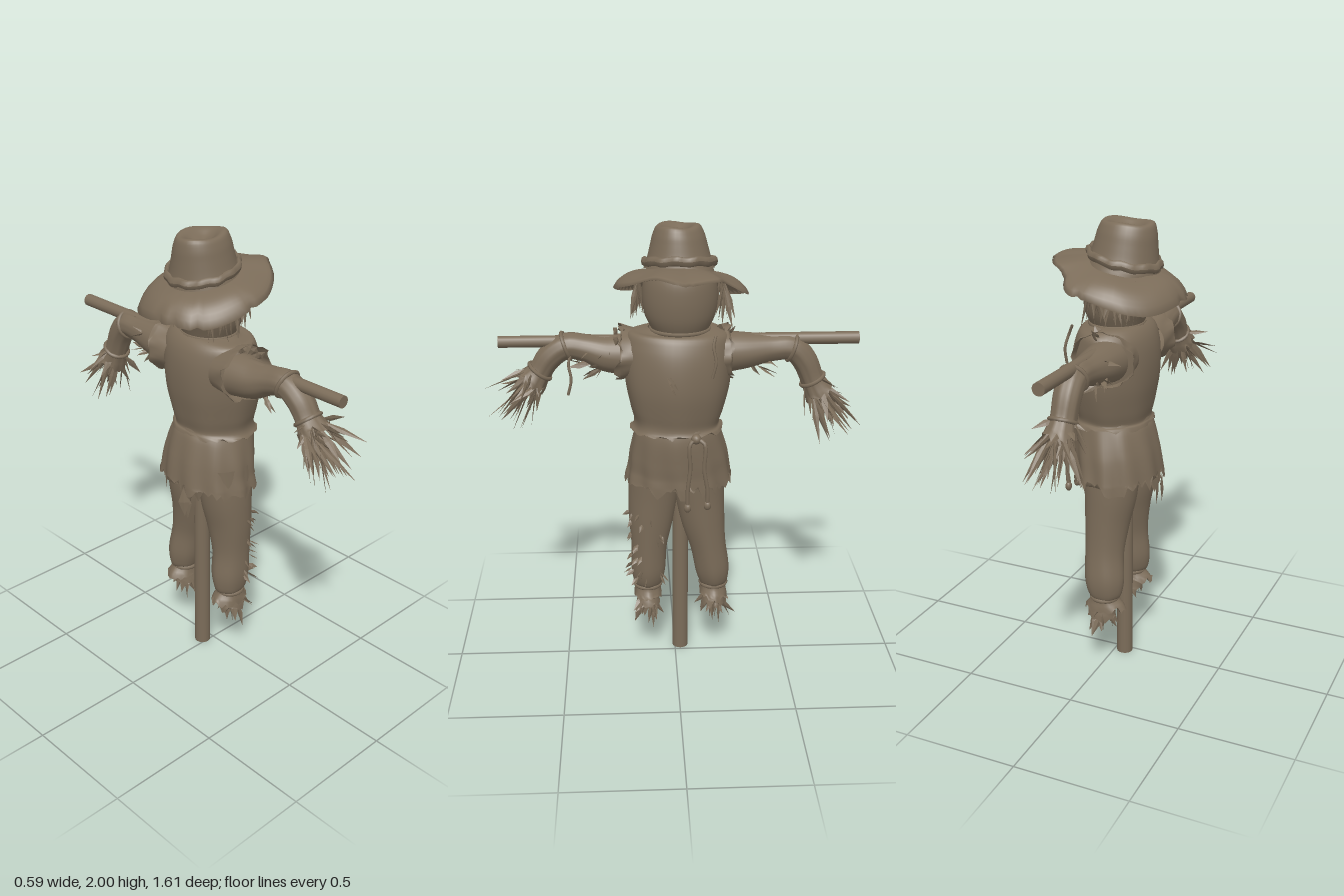
import * as THREE from 'three';
import { mergeGeometries } from 'three/addons/utils/BufferGeometryUtils.js';

let seed = 7;
const rand = () => (seed = (seed * 16807) % 2147483647) / 2147483647;
const jit = (a) => (rand() - 0.5) * 2 * a;
const V = (x, y, z) => new THREE.Vector3(x, y, z);

export function createModel() {
  seed = 7;
  const model = new THREE.Group();
  const burlap = new THREE.MeshStandardMaterial({ color: 0x7b6c59, side: THREE.DoubleSide });
  burlap.name = 'burlap brown';

  const add = (name, geo) => {
    const m = new THREE.Mesh(geo, burlap);
    m.name = name;
    model.add(m);
    return m;
  };

  // Smooth surface closed around its columns; f(row, angle) gives each point
  function surface(rows, cols, f) {
    const pos = [], idx = [];
    for (let i = 0; i <= rows; i++) {
      for (let j = 0; j < cols; j++) {
        pos.push(...f(i / rows, (j / cols) * Math.PI * 2, j).toArray());
        if (i < rows) {
          const a = i * cols + j, b = i * cols + (j + 1) % cols;
          idx.push(a, a + cols, b, b, a + cols, b + cols);
        }
      }
    }
    const g = new THREE.BufferGeometry();
    g.setAttribute('position', new THREE.Float32BufferAttribute(pos, 3));
    g.setIndex(idx);
    g.computeVertexNormals();
    return g;
  }

  // Loft through sections [x, y, z, radiusX, radiusAcross], with folds and a torn end
  function loft(name, sections, { cols = 32, rag = 0, folds = 0, count = 9 } = {}) {
    const path = new THREE.CatmullRomCurve3(sections.map((s) => V(s[0], s[1], s[2])), false, 'catmullrom', 0.5);
    const radii = new THREE.CatmullRomCurve3(sections.map((s) => V(s[3], s[4], 0)), false, 'catmullrom', 0.5);
    const rows = sections.length * 4;
    return add(name, surface(rows, cols, (t, a) => {
      const c = path.getPoint(t), tan = path.getTangent(t), r = radii.getPoint(t);
      const v = tan.clone().cross(V(1, 0, 0)).normalize();
      const u = v.clone().cross(tan).normalize();
      const k = 1 + folds * Math.sin(a * count + t * 2) * t;
      c.addScaledVector(u, Math.cos(a) * r.x * k).addScaledVector(v, Math.sin(a) * r.y * k);
      if (t === 1) c.addScaledVector(tan, jit(rag));
      return c;
    }));
  }

  // One flat leaf-shaped straw
  function straw(from, dir, len, width) {
    const g = new THREE.OctahedronGeometry(1);
    g.scale(width, len / 2, width * 0.25).translate(0, len / 2, 0).rotateY(rand() * 6.28);
    g.computeVertexNormals();
    g.applyQuaternion(new THREE.Quaternion().setFromUnitVectors(V(0, 1, 0), dir.clone().normalize()));
    return g.translate(from.x, from.y, from.z);
  }
  const tuft = (name, n, origin, dir, spread, len, width, scatter) => add(name, mergeGeometries(
    Array.from({ length: n }, () => straw(
      origin.clone().add(V(jit(scatter), jit(scatter), jit(scatter))),
      dir.clone().normalize().add(V(jit(spread), jit(spread), jit(spread))),
      len * (0.55 + 0.45 * rand()), width))));

  // Twine ring tied round a limb
  function twine(name, center, dir, r) {
    const m = add(name, new THREE.TorusGeometry(r, 0.009, 6, 24));
    m.position.copy(center);
    m.quaternion.setFromUnitVectors(V(0, 0, 1), dir.clone().normalize());
  }

  // Wooden cross
  add('uprightPole', new THREE.CylinderGeometry(0.034, 0.036, 1.5, 16).translate(-0.045, 0.75, -0.025));
  add('crossBar', new THREE.CylinderGeometry(0.025, 0.027, 1.53, 14).rotateX(Math.PI / 2).translate(-0.04, 1.505, -0.02));

  // Body and clothes, drawn in at the waist
  loft('shirt', [
    [-0.01, 1.572, -0.015, 0.09, 0.13], [-0.01, 1.552, -0.015, 0.14, 0.21],
    [-0.005, 1.5, -0.013, 0.165, 0.226], [0.002, 1.42, -0.01, 0.178, 0.228],
    [0.008, 1.32, -0.01, 0.178, 0.22], [0.01, 1.22, -0.008, 0.163, 0.198],
    [0.012, 1.16, -0.006, 0.152, 0.182], [0.012, 1.135, -0.006, 0.165, 0.2],
  ], { cols: 48, rag: 0.012, folds: 0.02, count: 7 });
  loft('skirtOfShirt', [
    [0.012, 1.17, -0.006, 0.145, 0.172], [0.01, 1.11, -0.008, 0.165, 0.188],
    [-0.003, 1.02, -0.012, 0.176, 0.21], [-0.012, 0.95, -0.015, 0.18, 0.22], [-0.015, 0.885, -0.015, 0.185, 0.232],
  ], { cols: 72, rag: 0.035, folds: 0.035, count: 11 });
  tuft('tornBackHem', 5, V(-0.185, 0.92, 0.04), V(0, -1, 0), 0.1, 0.16, 0.025, 0.03);
  tuft('chestTear', 4, V(0.178, 1.4, 0.03), V(0.12, -1, -0.5), 0.15, 0.08, 0.016, 0.015);
  loft('head', [
    [-0.005, 1.53, -0.02, 0.09, 0.1], [-0.005, 1.57, -0.02, 0.112, 0.12],
    [-0.005, 1.63, -0.02, 0.135, 0.148], [-0.01, 1.7, -0.02, 0.147, 0.158],
    [-0.015, 1.78, -0.02, 0.145, 0.15], [-0.02, 1.86, -0.02, 0.11, 0.12],
  ]);
  // Collar twine
  const collar = add('collarTwine', new THREE.TorusGeometry(0.112, 0.009, 6, 32).rotateX(Math.PI / 2));
  collar.position.set(-0.005, 1.568, -0.02);
  collar.scale.z = 1.1;

  // Hat brim with a worn edge, turned down at the back and sides
  const rim = new THREE.CatmullRomCurve3([
    [0.295, 0], [0.23, 0.1], [0.17, 0.18], [0.05, 0.25], [-0.06, 0.255], [-0.18, 0.21], [-0.265, 0.12], [-0.295, 0],
    [-0.255, -0.17], [-0.16, -0.27], [0, -0.305], [0.1, -0.285], [0.16, -0.2], [0.21, -0.165], [0.27, -0.07],
  ].map(([x, z]) => V(x, 0, z)), true);
  const wear = Array.from({ length: 72 }, () => 1 - (rand() > 0.9 ? 0.05 : 0.008) * rand());
  add('hatBrim', surface(24, 72, (t, a, j) => {
    const s = 1 - Math.abs(2 * t - 1);
    const p = rim.getPoint(j / 72).multiplyScalar(wear[j]);
    const x = -0.035 + (p.x + 0.035) * (0.4 + 0.6 * s), z = -0.02 + (p.z + 0.02) * (0.4 + 0.6 * s);
    const turn = THREE.MathUtils.clamp((0.2 - p.x) / 0.3, 0, 1) * (0.03 * s - 0.055 * s ** 5);
    const thick = t < 0.5 ? 0.006 : t > 0.5 ? -0.006 : 0;
    return V(x, 1.825 + 0.21 * x - 0.78 * (x * x + z * z) - 0.3 * z * z + 0.008 * s * Math.sin(a * 5) + turn + thick, z);
  }));
  // Crown with a dented top: [radius, height, lean]
  const crown = [[0.148, 1.815, 0.2], [0.138, 1.86, 0.18], [0.13, 1.91, 0.14], [0.122, 1.955, 0.08],
    [0.108, 1.986, 0.06], [0.085, 1.988, 0.05], [0.045, 1.968, 0.03], [0.001, 1.955, 0]];
  const crownCurve = new THREE.CatmullRomCurve3(crown.map((c) => V(...c)));
  add('hatCrown', surface(28, 40, (t, a) => {
    const c = crownCurve.getPoint(t), pinch = 1 + 0.03 * t * Math.sin(3 * a + 0.5);
    const x = Math.cos(a) * c.x * pinch, z = Math.sin(a) * c.x * pinch * (1 - 0.3 * Math.min(t, 0.6));
    return V(-0.038 - 0.024 * Math.min(t, 0.6) + x, c.y + c.z * x + 0.006 * t * Math.sin(3 * a) * (c.x / 0.1), -0.018 + 0.01 * t + z);
  }));
  add('hatBand', surface(8, 56, (t, a) => {
    const b = t * Math.PI * 2, r = 0.146 + 0.012 * Math.cos(b) + 0.003 * Math.sin(a * 14);
    const x = Math.cos(a) * r;
    return V(-0.038 + x, 1.842 + 0.2 * x + 0.02 * Math.sin(b) + 0.003 * Math.sin(a * 9), -0.02 + Math.sin(a) * r);
  }));

  // Straw hair under the brim on each side of the head
  for (const s of [1, -1]) {
    const hair = [];
    for (let i = 0; i < 28; i++) {
      const a = Math.PI * (0.4 + 0.45 * rand());
      const from = V(-0.015 + Math.cos(a) * 0.165, 1.775 - 0.02 * rand(), -0.02 + s * Math.sin(a) * 0.185);
      hair.push(straw(from, V(jit(0.25) - 0.05, -1, s * (0.05 + jit(0.3))), 0.1 + 0.09 * rand(), 0.011));
    }
    add(s > 0 ? 'rightHair' : 'leftHair', mergeGeometries(hair));
  }

  // Arms draped over the bar: centre line of each as [y, z]
  const arms = {
    first: [[1.445, 0.2], [1.45, 0.29], [1.475, 0.38], [1.485, 0.46], [1.44, 0.53], [1.375, 0.575], [1.33, 0.61]],
    second: [[1.45, -0.2], [1.455, -0.3], [1.465, -0.41], [1.465, -0.5], [1.41, -0.555], [1.32, -0.595], [1.255, -0.63]],
  };
  const armRadii = [0.095, 0.082, 0.062, 0.058, 0.056, 0.053, 0.07];
  for (const [side, line] of Object.entries(arms)) {
    const s = Math.sign(line[0][1]);
    // Flared armhole of the shirt
    loft(side + 'Armhole', [
      [-0.03, 1.455, s * 0.14, 0.125, 0.095], [-0.032, 1.457, s * 0.19, 0.13, 0.105], [-0.034, 1.458, s * 0.235, 0.137, 0.115],
    ], { rag: 0.02, folds: 0.05 });
    loft(side + 'Arm', line.map(([y, z], i) => [-0.04, y, z, armRadii[i], armRadii[i] * 0.95]),
      { rag: 0.025, folds: 0.06, cols: 28 });
    const at = (i) => V(-0.04, ...line[i]);
    const down = at(6).sub(at(5)).normalize();
    twine(side + 'WristTwine', at(5), down, 0.054);
    twine(side + 'ElbowTwine', at(3), V(0, -0.35, s), 0.058);
    tuft(side + 'HandStraw', 36, at(5).lerp(at(6), 0.4), down.clone().add(V(0, -0.05, s * 0.1)), 0.55, 0.27, 0.014, 0.03);
    tuft(side + 'WristStraw', 16, at(5), down, 0.85, 0.17, 0.014, 0.035);
    tuft(side + 'SleeveStraw', 22, V(-0.035, 1.445, s * 0.31), V(0.1, -0.2, s), 0.9, 0.13, 0.012, 0.05);
    // Loose shoulder rags
    tuft(side + 'ShoulderRags', 6, V(-0.01, 1.52, s * 0.215), V(0.2, 1, s * 0.3), 0.5, 0.06, 0.02, 0.03);
  }
  // Hanging threads
  for (const [y, z] of [[1.42, 0.44], [1.53, -0.16]]) {
    const x = z > 0 ? 0.02 : 0.155;
    add('looseThread', new THREE.TubeGeometry(new THREE.CatmullRomCurve3(
      [V(x - 0.02, y + 0.04, z), V(x, y, z + 0.01), V(x + 0.015, y - 0.06, z), V(x + 0.015, y - 0.13, z + 0.015)]), 12, 0.006, 6));
  }

  // Trouser legs, gathered ankles and straw feet
  const legs = { first: [0.098, 0.108, 0.118, 0.122, 0.125], second: [-0.108, -0.122, -0.148, -0.168, -0.175] };
  for (const [side, z] of Object.entries(legs)) {
    loft(side + 'Leg', [
      [-0.015, 1.0, z[0], 0.13, 0.1], [-0.015, 0.84, z[0], 0.118, 0.11], [-0.005, 0.7, z[1], 0.1, 0.1],
      [-0.002, 0.56, z[2], 0.088, 0.081], [-0.01, 0.44, z[3], 0.09, 0.078], [-0.015, 0.375, z[4], 0.078, 0.066],
      [-0.015, 0.35, z[4], 0.062, 0.054], [-0.018, 0.305, z[4], 0.095, 0.064],
    ], { rag: 0.018, folds: 0.03, count: 6 });
    loft(side + 'Ankle', [[-0.01, 0.38, z[4], 0.05, 0.045], [-0.008, 0.32, z[4], 0.048, 0.042],
      [0, 0.26, z[4], 0.065, 0.055]], { cols: 20, rag: 0.02 });
    twine(side + 'AnkleTwine', V(-0.015, 0.352, z[4]), V(0, 1, 0), 0.058);
    tuft(side + 'FootStraw', 26, V(0, 0.3, z[4]), V(0.05, -1, 0), 0.6, 0.145, 0.018, 0.025);
  }
  // Straw poking through the worn leg
  const pokes = [];
  for (let i = 0; i < 26; i++) {
    const a = jit(1.3) + 0.3;
    pokes.push(straw(V(Math.cos(a) * 0.078, 0.42 + 0.33 * rand(), 0.118 + Math.sin(a) * 0.07),
      V(Math.cos(a), -0.9 + jit(0.5), Math.sin(a)), 0.055, 0.011));
  }
  add('legStraw', mergeGeometries(pokes));

  // Rope knot at the waist with two hanging ends
  add('beltKnot', new THREE.SphereGeometry(0.022, 12, 10).translate(0.175, 1.135, -0.08));
  for (const [z, end] of [[-0.045, 0.82], [-0.13, 0.83]]) {
    const mid = z > -0.08 ? -0.055 : -0.115;
    add('ropeEnd', new THREE.TubeGeometry(new THREE.CatmullRomCurve3([
      V(0.172, 1.135, -0.08), V(0.192, 1.12, mid), V(0.19, 1.0, mid), V(0.185, 0.9, z), V(0.18, end, z)]), 24, 0.009, 7));
    add('ropeTassel', new THREE.SphereGeometry(0.018, 10, 8).scale(0.8, 1.2, 0.9).translate(0.18, end, z));
  }
  return model;
}
